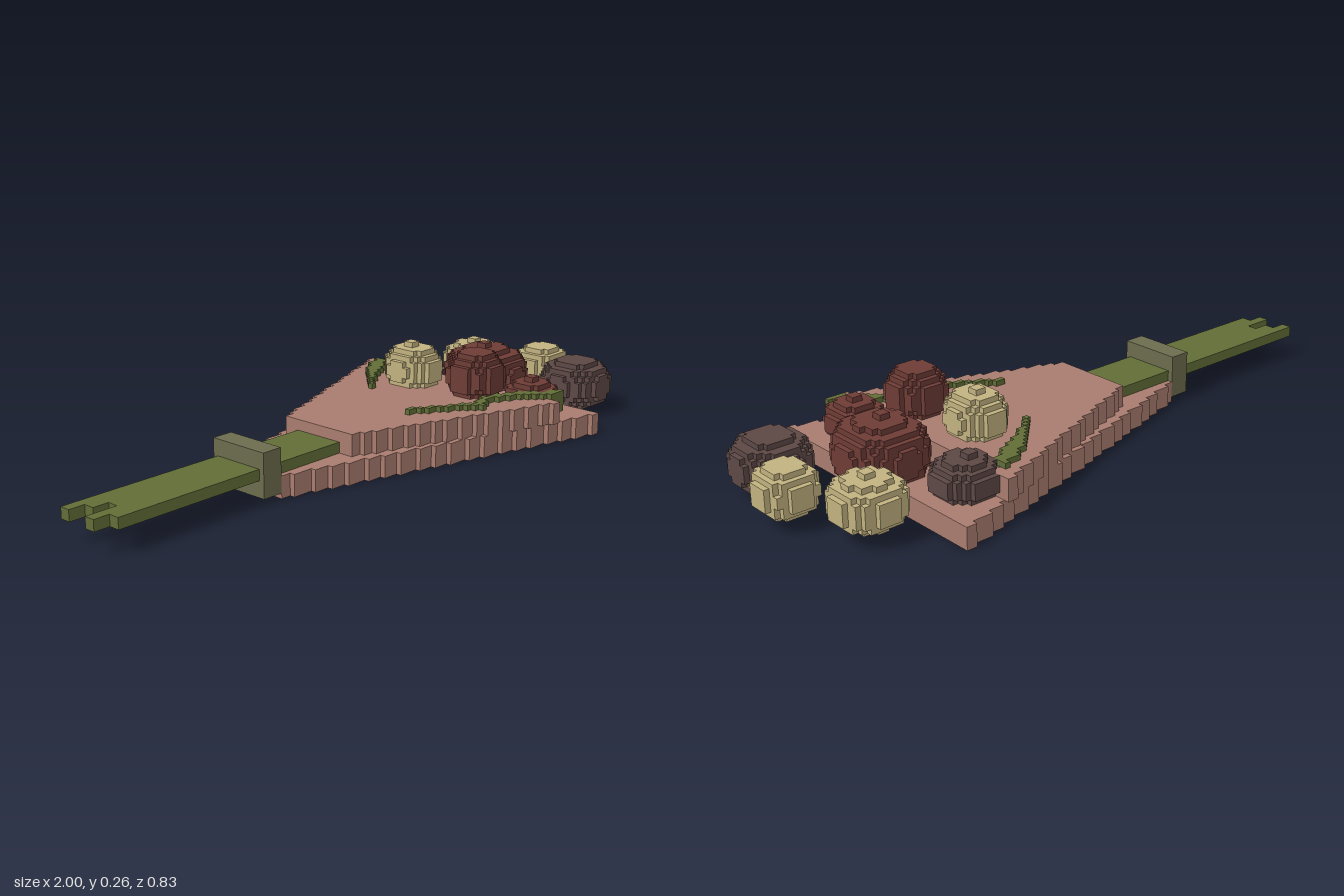
import * as THREE from 'three';
import { mergeGeometries } from 'three/addons/utils/BufferGeometryUtils.js';

// The bouquet lies along x on a block grid: i = 0..121 along x, j up, k = -25..25 along z.
const V = 2 / 121;

const mat = (name, color) => {
  const m = new THREE.MeshStandardMaterial({ color });
  m.name = name;
  return m;
};

// A box given by its grid bounds
function block(i0, i1, j0, j1, k0, k1) {
  const g = new THREE.BoxGeometry((i1 - i0) * V, (j1 - j0) * V, (k1 - k0) * V);
  return g.translate(((i0 + i1) / 2) * V - 1, ((j0 + j1) / 2) * V, ((k0 + k1) / 2) * V);
}

function part(name, blocks, material) {
  const mesh = new THREE.Mesh(mergeGeometries(blocks), material);
  mesh.name = name;
  return mesh;
}

// Paper sheet that widens in steps from half-width w0 to w1
function wedge(i0, i1, j0, j1, w0, w1) {
  const out = [];
  for (let i = i0; i < i1; i++) {
    const w = Math.round(w0 + ((w1 - w0) * (i - i0)) / (i1 - 1 - i0));
    out.push(block(i, i + 1, j0, j1, -w, w));
  }
  return out;
}

// Rounded bloom: stacked layers of block rows, with an optional bud on top
function bloom([i0, i1, j0, j1, k0, k1, bud]) {
  const out = [];
  const ci = (i0 + i1) / 2, cj = (j0 + j1) / 2, ck = (k0 + k1) / 2;
  const ri = (i1 - i0) / 2, rj = (j1 - j0) / 2, rk = (k1 - k0) / 2;
  for (let j = j0; j < j1; j++) {
    const s = Math.pow(1 - Math.pow(Math.abs(j + 0.5 - cj) / rj, 2.6), 1 / 2.6);
    for (let k = k0; k < k1; k++) {
      const q = 1 - ((k + 0.5 - ck) / (rk * s)) ** 2;
      if (q <= 0) continue;
      const inset = Math.round(ri - ri * s * Math.sqrt(q));
      if (i1 - i0 > 2 * inset) out.push(block(i0 + inset, i1 - inset, j, j + 1, k, k + 1));
    }
  }
  if (bud) {
    const bi = Math.floor(ci), bk = Math.floor(ck);
    out.push(block(bi - 1, bi + 1, j1, j1 + 1, bk - 1, bk + 1));
  }
  return out;
}

// Leaf sprig following points [i, k, half-width]; it droops past the paper edge
function sprig(points) {
  const out = [];
  for (let n = 0; n < points.length - 1; n++) {
    const [ia, ka, wa] = points[n], [ib, kb, wb] = points[n + 1];
    for (let i = ia; i < ib; i++) {
      const t = (i - ia) / (ib - ia);
      const k = ka + (kb - ka) * t, w = wa + (wb - wa) * t;
      const lo = Math.round(k - w), hi = Math.max(lo + 1, Math.round(k + w));
      out.push(block(i, i + 1, i >= 91 ? 5 : 8, 9, lo, hi));
    }
  }
  return out;
}

export function createModel() {
  const group = new THREE.Group();
  group.name = 'bouquet';
  const paper = mat('pink paper', 0xa97c6f);
  const green = mat('stem green', 0x616d37);
  const tieMat = mat('olive tie', 0x6c6c4e);
  const red = mat('deep red', 0x6e3c36);
  const dark = mat('dark brown', 0x5c4845);
  const cream = mat('cream', 0xc2b280);

  // Wrapping paper in two layers
  group.add(part('lowerWrap', wedge(36, 101, 0, 4, 6, 25), paper));
  group.add(part('upperWrap', wedge(51, 91, 4, 8, 8, 23), paper));

  // Stems with uneven ends, and the tie around them
  [0, 3, 6, 0, 3].forEach((start, n) => {
    const k = -5 + 2 * n;
    group.add(part('stem', [block(start, 52, 4, 6, k, k + 2)], green));
  });
  group.add(part('tie', [block(32, 36, 1, 9, -6, 6)], tieMat));

  // Leaf sprigs lying on the paper
  group.add(part('leftSprig', sprig([[66, 7, 0.5], [72, 11, 0.5], [77, 14.5, 1], [81, 13, 0.7],
    [85, 14.5, 1], [89, 17.5, 1.5], [91, 19.5, 1], [95, 20.5, 0.5]]), green));
  group.add(part('rightSprig', sprig([[74, -9, 0.5], [80, -14, 1], [85, -17, 2], [89, -19, 0.7]]), green));

  // Blooms: grid bounds i, j, k and whether a bud tops it
  const blooms = [
    ['largeRedBloom', red, [91, 106, 2, 13, -8, 8, true]],
    ['upperRedBloom', red, [80, 90, 7, 16, 3, 13, false]],
    ['sideRedBloom', red, [88, 98, 3, 10, 10, 20, true]],
    ['sideDarkBloom', dark, [88, 99, 3, 10, -21, -10, true]],
    ['outerDarkBloom', dark, [105, 118, 1, 10, 6, 19, false]],
    ['upperCreamBloom', cream, [78, 88, 7, 15, -11, 0, true]],
    ['outerCreamBloom', cream, [103, 115, 2, 10, -17, -5, true]],
    ['tipCreamBloom', cream, [111, 121, 2, 10, -4, 6, false]],
  ];
  for (const [name, material, bounds] of blooms) group.add(part(name, bloom(bounds), material));

  return group;
}
